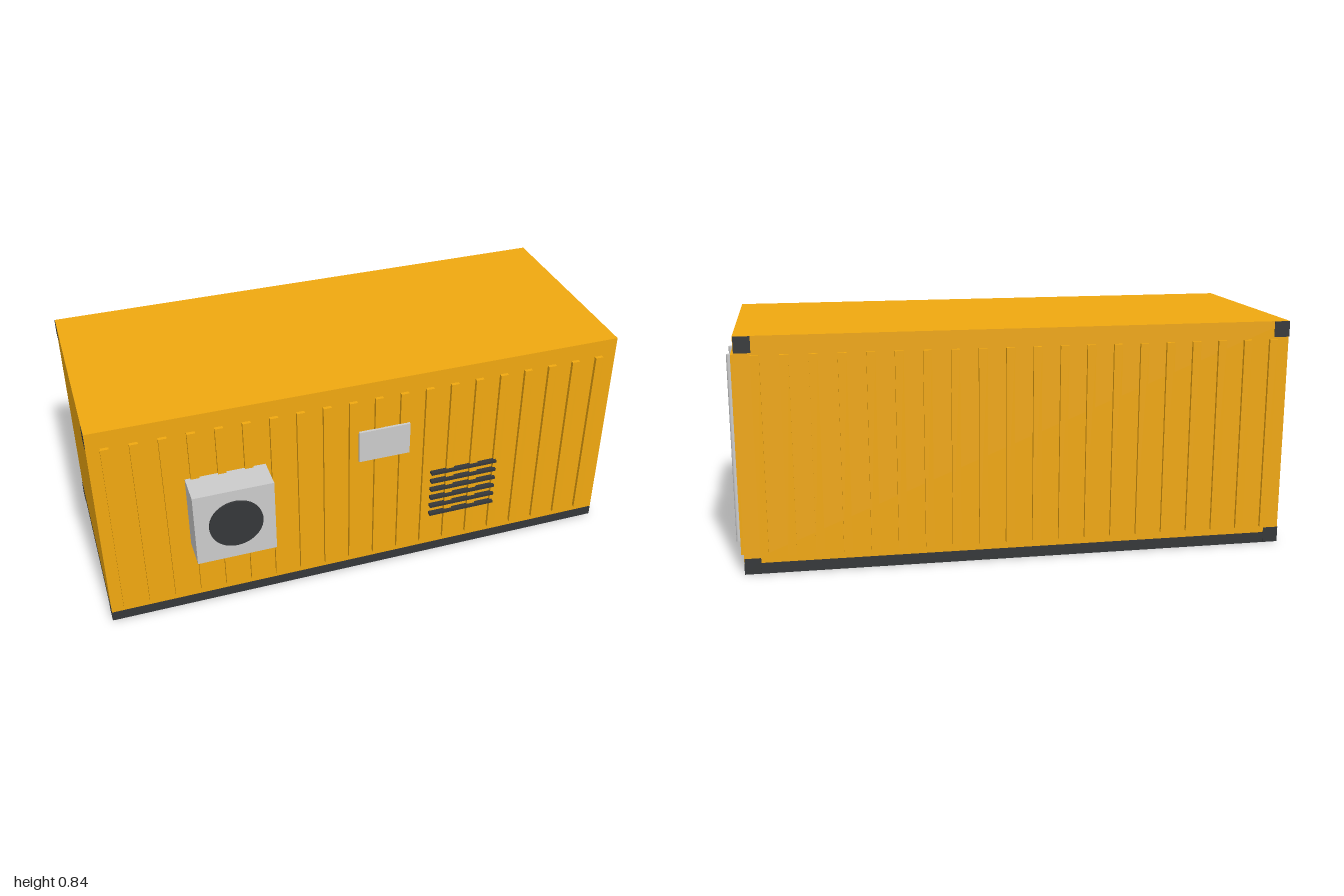
import * as THREE from 'three';

export function createModel() {
  const model = new THREE.Group();
  model.name = 'equipmentContainer';
  const yellow = new THREE.MeshStandardMaterial({ color: 0xf0a810 });
  const dark = new THREE.MeshStandardMaterial({ color: 0x353739 });
  const grey = new THREE.MeshStandardMaterial({ color: 0xcccccc });

  const add = (name, geometry, material, x, y, z) => {
    const mesh = new THREE.Mesh(geometry, material);
    mesh.name = name;
    mesh.position.set(x, y, z);
    model.add(mesh);
    return mesh;
  };
  // Box given by its limits on each axis
  const box = (name, material, [x0, x1], [y0, y1], [z0, z1]) =>
    add(name, new THREE.BoxGeometry(x1 - x0, y1 - y0, z1 - z0), material,
      (x0 + x1) / 2, (y0 + y1) / 2, (z0 + z1) / 2);

  const X0 = -1, X1 = 0.97, Z0 = -0.455, Z1 = 0.34, TOP = 0.843;

  // Shell and base
  box('body', yellow, [X0, X1], [0.04, TOP], [Z0, Z1]);
  box('base', dark, [X0, X1], [0, 0.04], [Z0, Z1]);

  // Corner fittings, just proud of the back and the plain end
  const s = 0.057, e = 0.0015;
  for (const x of [X0 - e, X1 - s - e])
    for (const z of [Z0 - e, Z1 - s - e])
      for (const y of [0.001, TOP - s - 0.001])
        box('cornerFitting', dark, [x, x + s], [y, y + s], [z, z + s]);

  // Wall ribs on both long sides
  for (let i = 0; i < 20; i++) {
    const x = -0.94 + i * 0.0968;
    box('frontRib', yellow, [x - 0.015, x + 0.015], [0.067, 0.778], [Z1 - 0.005, 0.353]);
    box('backRib', yellow, [x - 0.015, x + 0.015], [0.067, 0.778], [-0.467, Z0 + 0.005]);
  }

  // End doors with locking rods
  for (const [z0, z1] of [[-0.043, 0.325], [-0.438, -0.07]])
    box('door', yellow, [X1 - 0.005, 0.98], [0.067, 0.778], [z0, z1]);
  for (const z of [0.219, 0.057, -0.17, -0.333])
    add('lockingRod', new THREE.CylinderGeometry(0.0085, 0.0085, 0.679, 16), grey, 0.9915, 0.4225, z);

  // Cooling unit with fan disc
  box('coolingUnit', grey, [-0.685, -0.395], [0.293, 0.587], [0.345, 0.46]);
  add('fan', new THREE.CylinderGeometry(0.097, 0.097, 0.012, 40), dark, -0.538, 0.446, 0.462)
    .rotation.x = Math.PI / 2;

  // Plate and vent louvres
  box('plate', grey, [-0.05, 0.145], [0.523, 0.652], [0.352, 0.362]);
  for (let i = 0; i < 6; i++) {
    const y = 0.201 + i * 0.0392;
    box('louvre', dark, [0.24, 0.505], [y - 0.005, y + 0.005], [0.346, 0.365]);
  }
  return model;
}
